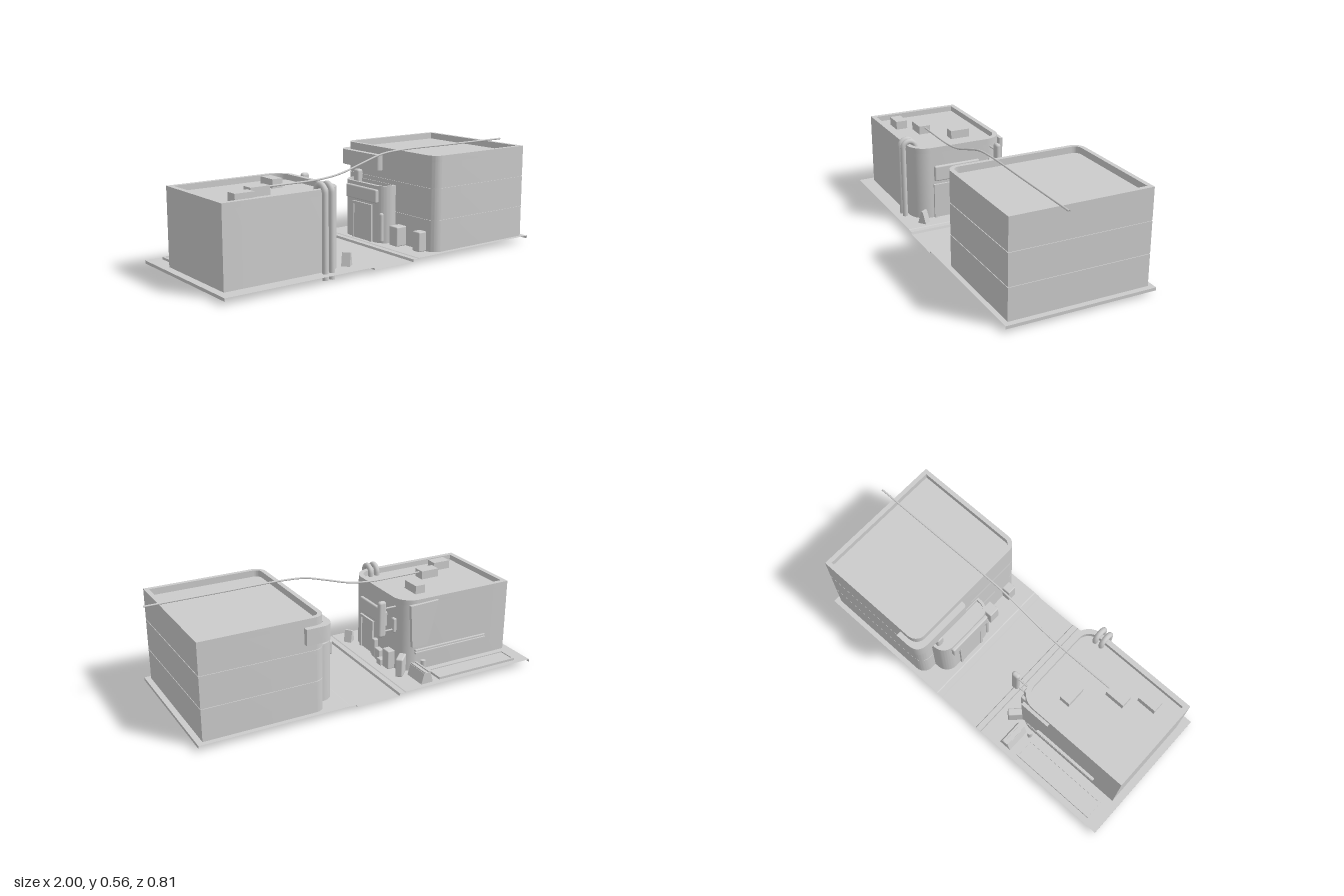
import * as THREE from 'three';
import { toCreasedNormals } from 'three/addons/utils/BufferGeometryUtils.js';
import { RoundedBoxGeometry } from 'three/addons/geometries/RoundedBoxGeometry.js';

const mat = new THREE.MeshStandardMaterial({ color: 0xcccccc, side: THREE.DoubleSide });
const GROUND = 0.033;

// Plan outline in x/z; rl and rr round the corners at x0 and x1
function plan(x0, x1, z0, z1, rl, rr, Type = THREE.Shape) {
  const s = new Type();
  s.moveTo(x0 + rl, z0);
  s.lineTo(x1 - rr, z0);
  if (rr) s.absarc(x1 - rr, z0 + rr, rr, -Math.PI / 2, 0);
  s.lineTo(x1, z1 - rr);
  if (rr) s.absarc(x1 - rr, z1 - rr, rr, 0, Math.PI / 2);
  s.lineTo(x0 + rl, z1);
  if (rl) s.absarc(x0 + rl, z1 - rl, rl, Math.PI / 2, Math.PI);
  s.lineTo(x0, z0 + rl);
  if (rl) s.absarc(x0 + rl, z0 + rl, rl, Math.PI, Math.PI * 1.5);
  return s;
}

function add(parent, name, geometry, x = 0, y = 0, z = 0) {
  const m = new THREE.Mesh(geometry, mat);
  m.name = name;
  m.position.set(x, y, z);
  parent.add(m);
  return m;
}

// Raise a plan outline from y0 to y1
function raise(parent, name, shape, y0, y1) {
  const g = new THREE.ExtrudeGeometry(shape, { depth: y1 - y0, bevelEnabled: false, curveSegments: 8 });
  g.rotateX(Math.PI / 2);
  return add(parent, name, toCreasedNormals(g, 0.6), 0, y1, 0);
}

// Box given by its limits
function box(parent, name, x0, x1, y0, y1, z0, z1, r = 0) {
  const s = [x1 - x0, y1 - y0, z1 - z0];
  const g = r ? new RoundedBoxGeometry(...s, 3, r) : new THREE.BoxGeometry(...s);
  return add(parent, name, g, (x0 + x1) / 2, (y0 + y1) / 2, (z0 + z1) / 2);
}

function tube(parent, name, points, r, n = 40) {
  const c = new THREE.CatmullRomCurve3(points.map(p => new THREE.Vector3(...p)), false, 'centripetal');
  return add(parent, name, new THREE.TubeGeometry(c, n, r, 10), 0, 0, 0);
}

// Walls and sunken roof inside a parapet
function building(parent, name, [x0, x1, z0, z1, rl, rr], top, rim, depth, joints = []) {
  const g = new THREE.Group();
  g.name = name;
  parent.add(g);
  const levels = [GROUND, ...joints, top - depth];
  for (let i = 0; i < levels.length - 1; i++) {
    raise(g, 'storey', plan(x0, x1, z0, z1, rl, rr), levels[i] + (i ? 0.002 : 0),
      levels[i + 1] - (i < levels.length - 2 ? 0.002 : 0));
  }
  const d = 0.004;
  for (const y of joints) raise(g, 'joint', plan(x0 + d, x1 - d, z0 + d, z1 - d, rl, rr), y - 0.002, y + 0.002);
  const ring = plan(x0, x1, z0, z1, rl, rr);
  ring.holes.push(plan(x0 + rim, x1 - rim, z0 + rim, z1 - rim,
    Math.max(0, rl - rim), Math.max(0, rr - rim), THREE.Path));
  raise(g, 'parapet', ring, top - depth, top);
  return g;
}

export function createModel() {
  const model = new THREE.Group();

  // Pavements with a sunken road and stepped curbs
  const section = [[-1, 0.017], [-1, GROUND], [-0.19, GROUND], [-0.185, 0.03], [-0.155, 0.03], [-0.15, 0.018],
    [0.1, 0.018], [0.105, 0.03], [0.135, 0.03], [0.14, GROUND], [0.95, GROUND], [0.95, 0.017]];
  const verts = [], idx = [];
  section.forEach(([x, y], i) => {
    verts.push(x, y, -0.405, x, y, 0.403);
    if (i) {
      const a = 2 * i - 2;
      idx.push(a, a + 1, a + 3, a, a + 3, a + 2);
    }
  });
  let ground = new THREE.BufferGeometry();
  ground.setAttribute('position', new THREE.Float32BufferAttribute(verts, 3));
  ground.setIndex(idx);
  ground = ground.toNonIndexed();
  ground.computeVertexNormals();
  add(model, 'street', ground);

  // Low building
  const low = building(model, 'lowBuilding', [-0.96, -0.28, -0.215, 0.325, 0, 0.1], 0.443, 0.027, 0.03);
  for (const [x0, x1, z0, z1] of [[-0.845, -0.74, 0.18, 0.245], [-0.71, -0.6, 0.095, 0.16], [-0.505, -0.445, -0.08, 0.03]])
    box(low, 'roofUnit', x0, x1, 0.41, 0.46, z0, z1);

  // Pipes bent over the roof edge
  for (const x of [-0.415, -0.375]) {
    const path = new THREE.CurvePath();
    const a = new THREE.Vector3(x, 0, 0.35), b = new THREE.Vector3(x, 0.43, 0.35);
    const c = new THREE.Vector3(x, 0.43, 0.28), d = new THREE.Vector3(x, 0, 0.28);
    path.add(new THREE.LineCurve3(a, b));
    path.add(new THREE.CubicBezierCurve3(b, new THREE.Vector3(x, 0.478, 0.35), new THREE.Vector3(x, 0.478, 0.28), c));
    path.add(new THREE.LineCurve3(c, d));
    add(low, 'bentPipe', new THREE.TubeGeometry(path, 90, 0.015, 12));
  }

  // Shop front: sign, door frame and things beside it
  box(low, 'shopSign', -0.285, -0.263, 0.25, 0.337, -0.06, 0.21, 0.008);
  box(low, 'shopDoor', -0.285, -0.276, GROUND, 0.215, 0.085, 0.2);
  for (const z of [0.075, 0.2]) box(low, 'doorPost', -0.285, -0.268, GROUND, 0.23, z, z + 0.014);
  box(low, 'doorLintel', -0.285, -0.268, 0.215, 0.23, 0.075, 0.214);
  box(low, 'tallCrate', -0.285, -0.255, GROUND, 0.14, 0.03, 0.06, 0.005);
  box(low, 'crate', -0.285, -0.25, GROUND, 0.1, -0.03, 0.02, 0.005);
  box(low, 'vendingBox', -0.285, -0.24, GROUND, 0.14, -0.14, -0.08, 0.006);
  box(low, 'smallBox', -0.262, -0.228, GROUND, 0.07, -0.08, -0.04, 0.005);
  const bin = add(low, 'wasteBin', new RoundedBoxGeometry(0.09, 0.105, 0.04, 2, 0.008), -0.275, 0.085, -0.215);
  bin.rotation.y = Math.PI / 4;

  // Leaning pavement board
  const wedge = (w0, w1, h, len) => {
    const s = new THREE.Shape([[-w0, 0], [w0, 0], [w1, h], [-w1, h]].map(p => new THREE.Vector2(...p)));
    return new THREE.ExtrudeGeometry(s, { depth: len, bevelEnabled: false }).translate(0, 0, -len / 2);
  };
  add(low, 'pavementBoard', wedge(0.024, 0.006, 0.068, 0.045), -0.242, GROUND, 0.292).rotation.y = 0.65;

  // Blade sign on two arms
  box(low, 'bladeSign', -0.22, -0.175, 0.235, 0.44, -0.15, -0.12, 0.014);
  for (const y of [0.265, 0.395]) {
    const arm = add(low, 'signArm', new THREE.CylinderGeometry(0.005, 0.005, 0.075, 8), -0.25, y, -0.135);
    arm.rotation.z = Math.PI / 2;
  }
  box(low, 'armPlate', -0.285, -0.265, 0.25, 0.33, -0.15, -0.12, 0.006);

  // Rear wall: tapering panel and long rail
  const panel = new THREE.Shape([[-0.495, 0.425], [-0.43, 0.18], [-0.335, 0.18], [-0.32, 0.42]].map(p => new THREE.Vector2(...p)));
  const panelGeo = new THREE.ExtrudeGeometry(panel, { depth: 0.02, bevelEnabled: false });
  add(low, 'rearPanel', panelGeo, 0, 0, -0.232);
  for (const y of [0.135, 0.149]) box(low, 'rearRail', -0.82, -0.36, y, y + 0.008, -0.23, -0.21);

  // Rear yard: raised bed, ribbed bench and post
  const bed = plan(-0.92, -0.42, -0.372, -0.26, 0, 0);
  bed.holes.push(plan(-0.91, -0.43, -0.362, -0.27, 0, 0, THREE.Path));
  raise(low, 'bedEdge', bed, GROUND, 0.046);
  box(low, 'bed', -0.912, -0.428, GROUND, 0.041, -0.364, -0.268);
  add(low, 'bench', wedge(0.036, 0.02, 0.06, 0.135), -0.34, GROUND, -0.308);
  for (const x of [-0.353, -0.327]) box(low, 'benchSlat', x - 0.005, x + 0.005, 0.09, 0.1, -0.374, -0.242);
  add(low, 'post', new THREE.CylinderGeometry(0.014, 0.014, 0.065, 12), -0.4, 0.065, -0.243);

  // Tall building
  const tall = building(model, 'tallBuilding', [0.26, 0.92, -0.378, 0.377, 0.06, 0], 0.545, 0.024, 0.035, [0.205, 0.375]);

  // Entrance block with sign, door and handrail posts
  const porch = building(tall, 'entranceBlock', [0.167, 0.27, -0.29, 0.07, 0.07, 0], 0.35, 0.014, 0.02);
  box(porch, 'entranceSign', 0.15, 0.175, 0.255, 0.33, -0.235, 0.03, 0.008);
  box(porch, 'entranceDoor', 0.16, 0.175, GROUND, 0.225, -0.17, -0.03);
  for (const z of [-0.185, -0.03]) box(porch, 'doorJamb', 0.156, 0.175, GROUND, 0.24, z, z + 0.015);
  box(porch, 'doorHead', 0.156, 0.175, 0.225, 0.24, -0.185, -0.015);
  add(porch, 'bollard', new THREE.CapsuleGeometry(0.013, 0.14, 4, 12), 0.18, 0.12, 0.045);
  box(tall, 'ventPipe', 0.228, 0.268, 0.32, 0.4, -0.27, -0.225, 0.012);

  // Sign wrapping the rear corner
  const wrap = plan(0.227, 0.38, -0.405, -0.05, 0.075, 0);
  wrap.holes.push(plan(0.258, 0.379, -0.376, -0.051, 0.05, 0, THREE.Path));
  const cornerSign = new THREE.Shape();
  cornerSign.moveTo(0.38, -0.406);
  cornerSign.lineTo(0.3, -0.406);
  cornerSign.quadraticCurveTo(0.227, -0.406, 0.227, -0.333);
  cornerSign.lineTo(0.227, -0.06);
  cornerSign.quadraticCurveTo(0.227, -0.045, 0.262, -0.045);
  cornerSign.lineTo(0.262, -0.32);
  cornerSign.quadraticCurveTo(0.262, -0.376, 0.32, -0.376);
  cornerSign.lineTo(0.38, -0.376);
  raise(tall, 'cornerSign', cornerSign, 0.418, 0.503);

  // Cabinets along the pavement
  box(tall, 'cabinet', 0.195, 0.265, GROUND, 0.14, 0.095, 0.16, 0.006);
  box(tall, 'cabinet', 0.212, 0.265, GROUND, 0.14, 0.265, 0.32, 0.006);

  // Cable strung between the roofs
  tube(model, 'cable', [[-0.71, 0.449, 0.125], [-0.5, 0.448, 0.125], [-0.28, 0.45, 0.125], [-0.15, 0.467, 0.125],
    [0, 0.51, 0.125], [0.12, 0.542, 0.125], [0.25, 0.552, 0.125], [0.6, 0.552, 0.125], [1, 0.552, 0.125]], 0.005, 80);

  return model;
}
